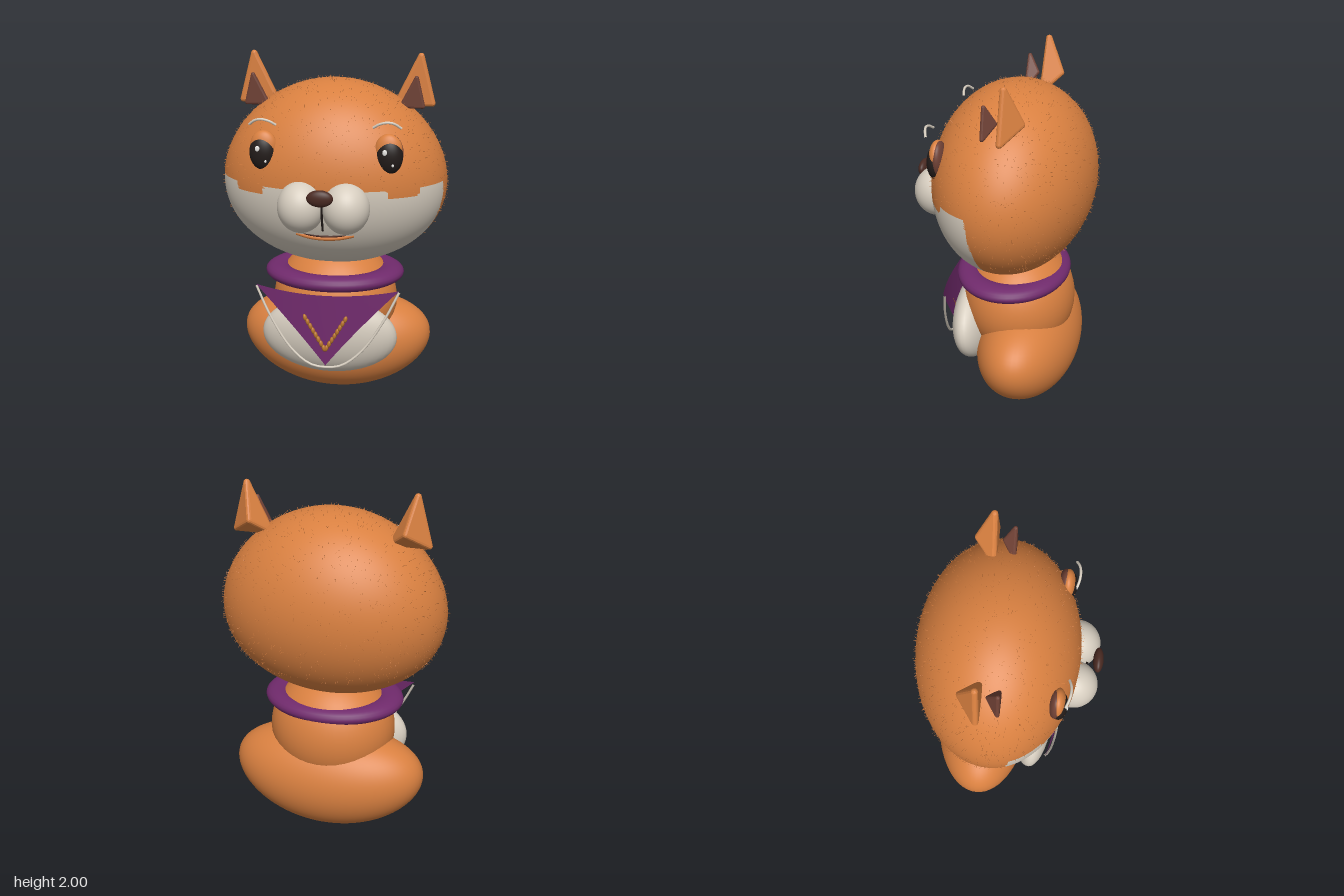
import * as THREE from 'three';
import { mergeVertices, mergeGeometries } from 'three/addons/utils/BufferGeometryUtils.js';
import { ConvexGeometry } from 'three/addons/geometries/ConvexGeometry.js';

const mat = (name, color, side = THREE.FrontSide) => {
  const m = new THREE.MeshStandardMaterial({ color, side });
  m.name = name;
  return m;
};
const V = (x, y, z) => new THREE.Vector3(x, y, z);

// Sphere whose unit points are moved by a rule, with seamless smooth normals
function warpedSphere(w, h, rule) {
  let g = new THREE.SphereGeometry(1, w, h);
  g.deleteAttribute('uv');
  g.deleteAttribute('normal');
  g = mergeVertices(g, 1e-5);
  const p = g.attributes.position, v = V();
  for (let i = 0; i < p.count; i++) {
    rule(v.fromBufferAttribute(p, i));
    p.setXYZ(i, v.x, v.y, v.z);
  }
  g.computeVertexNormals();
  return g;
}

// Head: ellipsoid with wider cheeks
const headRule = (v) => v.set(v.x * (0.628 - 0.05 * v.y), 1.342 + 0.523 * v.y, -0.057 + 0.442 * v.z);
const isMask = (c) => c.y < 1.33 && c.z > 0.018 + 0.035 * (c.y - 1.1) / 0.25 &&
  !(c.y > 1.285 + 6 * Math.max(0, Math.abs(Math.abs(c.x) - 0.415) - 0.07) ** 1.2 && Math.abs(Math.abs(c.x) - 0.415) < 0.085);

function headGeometry() {
  const g = warpedSphere(200, 150, headRule);
  const p = g.attributes.position, idx = g.index.array, sets = [[], []], c = V(), t = V();
  for (let i = 0; i < idx.length; i += 3) {
    c.set(0, 0, 0);
    for (let k = 0; k < 3; k++) c.add(t.fromBufferAttribute(p, idx[i + k]));
    sets[isMask(c.divideScalar(3)) ? 1 : 0].push(idx[i], idx[i + 1], idx[i + 2]);
  }
  g.setIndex(sets[0].concat(sets[1]));
  g.addGroup(0, sets[0].length, 0);
  g.addGroup(sets[0].length, sets[1].length, 1);
  return g;
}

// Short fur scattered over the coloured part of the head
function furGeometry() {
  let seed = 7;
  const rnd = () => (seed = (seed * 16807) % 2147483647) / 2147483647;
  const parts = [], q = new THREE.Quaternion(), up = V(0, 1, 0);
  while (parts.length < 1500) {
    const y = -0.65 + 1.65 * rnd(), a = rnd() * Math.PI * 2, r = Math.sqrt(1 - y * y);
    const unit = V(r * Math.cos(a), y, r * Math.sin(a));
    const pos = headRule(unit.clone());
    if (isMask(pos)) continue;
    const dir = V(unit.x / 0.628, unit.y / 0.523, unit.z / 0.442).normalize();
    dir.add(V(rnd() - 0.5, rnd() - 0.5, rnd() - 0.5)).normalize();
    const hair = new THREE.ConeGeometry(0.0018, 0.02, 3, 1, true);
    hair.translate(0, 0.007, 0).applyQuaternion(q.setFromUnitVectors(up, dir)).translate(pos.x, pos.y, pos.z);
    parts.push(hair);
  }
  return mergeGeometries(parts);
}

// Hull around small balls at the corners: a pyramid with rounded edges
function roundedHull(corners, r) {
  const ball = new THREE.IcosahedronGeometry(r, 1).attributes.position, pts = [];
  for (const c of corners)
    for (let i = 0; i < ball.count; i++) pts.push(V().fromBufferAttribute(ball, i).add(c));
  return new ConvexGeometry(pts);
}

const tube = (pts, r) => new THREE.TubeGeometry(new THREE.CatmullRomCurve3(pts), 32, r, 8);

export function createModel() {
  const root = new THREE.Group();
  const orange = mat('orange fur', 0xd98040);
  const cream = mat('cream fur', 0xd6cdbf);
  const purple = mat('purple cloth', 0x702a6c, THREE.DoubleSide);
  const innerBrown = mat('inner ear brown', 0x6e4034);
  const noseBrown = mat('nose brown', 0x4a2a22);
  const black = mat('eye black', 0x231c1a);
  const white = mat('highlight white', 0xf4f2ee);
  const gold = mat('braid gold', 0xb8742c);

  const add = (name, geo, m, parent = root) => {
    const mesh = new THREE.Mesh(geo, m);
    mesh.name = name;
    parent.add(mesh);
    return mesh;
  };
  const ball = (name, m, pos, scale, parent = root) => {
    const mesh = add(name, new THREE.SphereGeometry(1, 40, 28), m, parent);
    mesh.position.set(...pos);
    mesh.scale.set(...scale);
    return mesh;
  };

  // Body
  add('lowerBody', warpedSphere(64, 40, (v) => {
    const x = v.x * 0.555;
    v.set(x, 0.302 + 0.3 * v.y + 0.16 * x * x, -0.152 + 0.287 * v.z);
  }), orange);
  ball('torso', orange, [0, 0.58, -0.08], [0.36, 0.34, 0.32]);
  ball('belly', cream, [0, 0.435, 0.155], [0.385, 0.235, 0.123]).rotation.x = 0.12;

  // Head and fur
  add('head', headGeometry(), [orange, cream]);
  add('headFur', furGeometry(), orange);

  // Collar: flattened ring
  const collar = add('collar', new THREE.TorusGeometry(0.32, 0.08, 20, 64).rotateX(Math.PI / 2), purple);
  collar.position.set(0, 0.757, -0.05);
  collar.scale.set(1, 0.56, 0.8);

  // Neckerchief: thin triangle bent back at its corners
  const rows = 20, cols = 20, kerchief = new THREE.PlaneGeometry(1, 1, cols, rows);
  const kp = kerchief.attributes.position;
  for (let i = 0; i < kp.count; i++) {
    const s = kp.getY(i) + 0.5, u = kp.getX(i) * 2;
    const x = u * 0.4 * (0.85 * s + 0.15 * s * s);
    kp.setXYZ(i, x, 0.31 + 0.44 * s - 0.03 * s * (1 - u * u), 0.312 - 0.012 * s - 0.33 * x * x);
  }
  kerchief.computeVertexNormals();
  add('neckerchief', kerchief, purple);
  add('neckCord', tube([V(-0.4, 0.74, 0.24), V(-0.32, 0.58, 0.27), V(-0.2, 0.4, 0.295), V(-0.09, 0.315, 0.31),
    V(0, 0.3, 0.313), V(0.09, 0.315, 0.31), V(0.2, 0.4, 0.295), V(0.32, 0.58, 0.27), V(0.4, 0.74, 0.24)], 0.007), cream);

  // Muzzle, nose and mouth
  ball('nose', noseBrown, [0, 1.32, 0.48], [0.07, 0.045, 0.028]);
  add('muzzleLine', tube([V(0, 1.29, 0.425), V(0, 1.21, 0.415), V(0, 1.12, 0.385)], 0.006), black);
  const mouthArc = (dy, dz) => [-0.155, -0.08, 0, 0.08, 0.155].map((x) =>
    V(x, 1.055 + dy + 0.8 * x * x, 0.315 + dz - 0.75 * x * x));
  add('lip', tube(mouthArc(0, 0), 0.013), orange);
  add('mouthLine', tube(mouthArc(0.013, 0.006), 0.006), noseBrown);

  for (const s of [1, -1]) {
    const side = new THREE.Group();
    side.name = s > 0 ? 'leftSide' : 'rightSide';
    root.add(side);
    ball('cheekPad', cream, [s * 0.12, 1.24, 0.36], [0.127, 0.14, 0.13], side);

    // Eye, with socket and upper lid
    ball('eyeSocket', innerBrown, [s * 0.335, 1.525, 0.268], [0.075, 0.1, 0.04], side);
    ball('eyelid', orange, [s * 0.332, 1.54, 0.28], [0.074, 0.088, 0.04], side);
    ball('eye', black, [s * 0.337, 1.51, 0.285], [0.072, 0.095, 0.047], side);
    ball('eyeHighlight', white, [s * 0.337 - 0.02, 1.537, 0.328], [0.013, 0.016, 0.005], side);
    ball('eyeGlint', white, [s * 0.337 + 0.022, 1.47, 0.324], [0.007, 0.009, 0.005], side);
    add('eyebrow', tube([V(s * 0.4, 1.665, 0.315), V(s * 0.365, 1.69, 0.33), V(s * 0.33, 1.697, 0.337),
      V(s * 0.29, 1.688, 0.335), V(s * 0.255, 1.667, 0.325)], 0.007), cream, side);

    // Ears
    add('ear', roundedHull([V(s * 0.34, 1.725, -0.116), V(s * 0.532, 1.725, -0.116),
      V(s * 0.425, 1.8, -0.2), V(s * 0.465, 1.982, -0.118)], 0.018), orange, side);
    add('innerEar', roundedHull([V(s * 0.37, 1.724, -0.013), V(s * 0.487, 1.724, -0.013),
      V(s * 0.425, 1.79, -0.062), V(s * 0.45, 1.878, -0.012)], 0.012), innerBrown, side);

    // Braided chevron on the neckerchief
    for (let i = 0; i < 8; i++) {
      const t = (i + 0.5) / 8;
      ball('braidKnot', gold, [s * 0.12 * t, 0.405 + 0.2 * t, 0.318 - 0.004 * t], [0.011, 0.02, 0.012], side)
        .rotation.z = -s * 0.25;
    }
  }
  return root;
}
